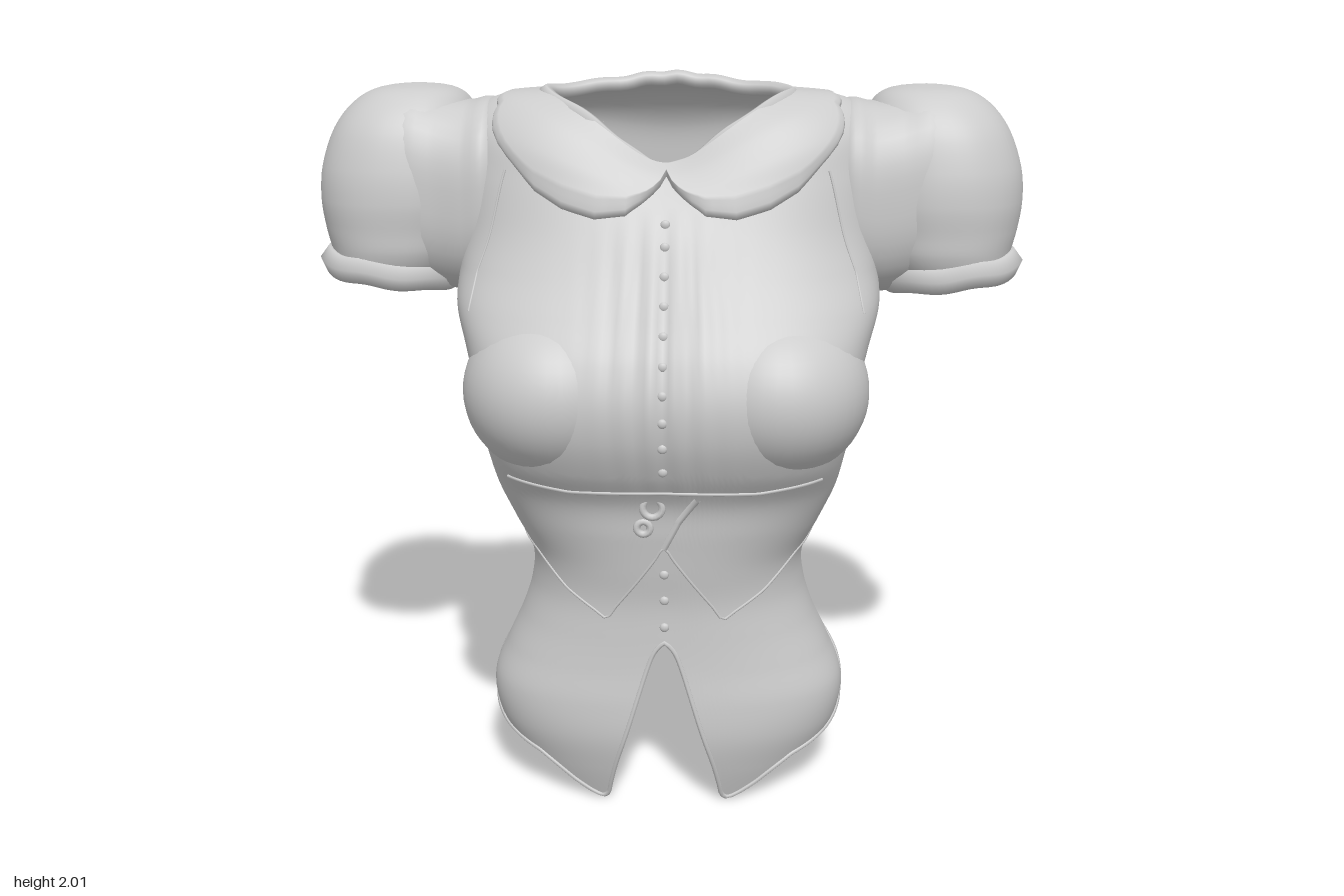
import * as THREE from 'three';
import { ParametricGeometry } from 'three/addons/geometries/ParametricGeometry.js';

const V = (x, y, z) => new THREE.Vector3(x, y, z);
const RAD = Math.PI / 180;

// Torso cross-sections: half width, front z, back z, centre z, front and back squareness,
// then (only near the neck) the height at front, side and back. Otherwise row i is at y = i / 10.
const SECTIONS = [
  [0.40, 0.26, -0.42, 0, 2.3, 2.2], [0.45, 0.29, -0.44, 0, 2.3, 2.2],
  [0.495, 0.31, -0.46, 0, 2.3, 2.2], [0.505, 0.31, -0.47, 0, 2.3, 2.2],
  [0.465, 0.30, -0.44, 0, 2.3, 2.2], [0.42, 0.295, -0.37, 0, 2.3, 2.2],
  [0.39, 0.295, -0.30, 0, 2.3, 2.2], [0.385, 0.31, -0.255, 0.02, 2.3, 2.2],
  [0.43, 0.325, -0.24, 0.03, 2.4, 2.2], [0.472, 0.342, -0.265, 0.04, 2.6, 2.2],
  [0.492, 0.40, -0.30, 0.06, 2.9, 2.2], [0.512, 0.438, -0.345, 0.06, 3, 2.2],
  [0.525, 0.445, -0.385, 0.05, 3, 2.3], [0.55, 0.415, -0.41, 0.03, 2.9, 2.5],
  [0.58, 0.355, -0.43, -0.02, 2.7, 2.7], [0.575, 0.295, -0.44, -0.06, 2.5, 2.9],
  [0.57, 0.24, -0.445, -0.1, 2.5, 3],
  [0.57, 0.19, -0.44, -0.13, 2.5, 3.2, 1.68, 1.76, 1.72],
  [0.56, 0.165, -0.42, -0.16, 2.4, 3, 1.715, 1.88, 1.84],
  [0.475, 0.14, -0.35, -0.13, 2.2, 2.4, 1.745, 1.94, 1.93],
  [0.335, 0.11, -0.24, -0.08, 2, 2, 1.77, 1.955, 1.985],
].map((s, i) => (s.length > 6 ? s : [...s, i / 10, i / 10, i / 10]));
const TOP = SECTIONS.length - 1;

// Smooth (cubic) interpolation through rows of numbers
function sample(rows, t) {
  const n = rows.length - 1;
  const i = Math.min(Math.max(Math.floor(t), 0), n - 1);
  const f = Math.min(Math.max(t - i, 0), 1);
  const [a, b, c, d] = [-1, 0, 1, 2].map(k => rows[Math.min(Math.max(i + k, 0), n)]);
  return b.map((p, k) => p + 0.5 * f * (c[k] - a[k]
    + f * (2 * a[k] - 5 * p + 4 * c[k] - d[k] + f * (3 * (p - c[k]) + d[k] - a[k]))));
}

// Straight interpolation in a table of [degrees from the front, value], same on both sides
function around(table, a) {
  const deg = Math.abs(Math.atan2(Math.sin(a), Math.cos(a))) / RAD;
  const i = Math.max(1, table.findIndex(p => p[0] >= deg - 1e-6));
  const [p, q] = [table[i - 1], table[i]];
  return p[1] + (q[1] - p[1]) * (deg - p[0]) / (q[0] - p[0]);
}

// Radius of a unit superellipse in the direction (s, c)
const squircle = (s, c, n) => Math.pow(Math.pow(Math.abs(s), n) + Math.pow(Math.abs(c), n), -1 / n);

// Point on the torso at section t and angle a (0 = front, 90 degrees = model's left)
function body(t, a) {
  const [w, zf, zb, zc, nf, nb, yf, ys, yb] = sample(SECTIONS, t);
  const s = Math.sin(a), c = Math.cos(a);
  const r = squircle(s / w, c / (c > 0 ? zf - zc : zc - zb), c > 0 ? nf : nb);
  const p = V(r * s, ys + ((c > 0 ? yf : yb) - ys) * c * c, zc + r * c);
  if (c > 0 && t > 9.4 && t < 17) { // fine pleats beside the buttons
    const fade = Math.sin(Math.PI * (t - 9.4) / 7.6);
    p.z -= 0.006 * fade * Math.cos(p.x * 90) * Math.exp(-Math.pow(p.x / 0.13, 2));
  }
  return p;
}

function bodyNormal(t, a) {
  const u = body(t, a + 0.01).sub(body(t, a - 0.01));
  return u.cross(body(Math.min(t + 0.02, TOP), a).sub(body(t - 0.02, a))).normalize();
}

// Torso point found by its x instead of its angle
function bodyAtX(x, t, back) {
  let lo = -Math.PI / 2, hi = Math.PI / 2;
  const at = q => body(t, back ? Math.PI - q : q);
  for (let i = 0; i < 24; i++) {
    const mid = (lo + hi) / 2;
    if (at(mid).x < x) lo = mid; else hi = mid;
  }
  return at(lo);
}

const HEM = [[0, 4.9], [5, 4.7], [10, 4], [19.5, 2.1], [28, 0.8], [33, 0.15], [36, 0], [40, 0.12],
  [48, 0.5], [60, 1.2], [75, 1.6], [90, 2.2], [105, 3.4], [115, 4.1], [123, 4.4], [140, 4.4], [180, 4.1]];
const COLLAR_EDGE = [[0, 19.2], [4, 18], [10, 17.1], [18, 16.6], [30, 16.45], [42, 16.6], [52, 16.9], [62, 17.7],
  [75, 18.8], [90, 19.2], [110, 18.9], [135, 18], [160, 17.5], [180, 17.45]];
const WAIST_SEAM = [[0, 7.8], [30, 5.6], [50, 6.3], [70, 7.2], [90, 7.7], [130, 8], [180, 8]];

export function createModel() {
  const group = new THREE.Group();
  const material = new THREE.MeshStandardMaterial({ color: 0xcccccc, side: THREE.DoubleSide });
  const add = (name, geometry) => {
    const mesh = new THREE.Mesh(geometry, material);
    mesh.name = name;
    group.add(mesh);
    return mesh;
  };
  const surface = (name, fn, cols, rows) =>
    add(name, new ParametricGeometry((u, v, out) => out.copy(fn(u * Math.PI * 2, v)), cols, rows));
  const cord = (name, points, radius, closed = false) =>
    add(name, new THREE.TubeGeometry(new THREE.CatmullRomCurve3(points, closed), points.length * 2, radius, 6, closed));
  const loop = (n, fn) => Array.from({ length: n }, (_, i) => fn(i / n * Math.PI * 2));
  // Cord lying on the torso along straight runs between [x, t] points
  const seam = (name, path, radius, back = false) => {
    const pts = [];
    path.forEach(([x, t], i) => {
      const [px, pt] = path[Math.max(i - 1, 0)];
      for (let k = i ? 1 : 6; k <= 6; k++) pts.push(bodyAtX(px + (x - px) * k / 6, pt + (t - pt) * k / 6, back));
    });
    return cord(name, pts, radius);
  };

  // Bodice and split peplum in one open shell
  surface('bodice', (a, v) => {
    const hem = around(HEM, a);
    return body(hem + (TOP - hem) * v, a);
  }, 160, 110);
  cord('hemEdge', loop(120, a => body(around(HEM, a) + 0.05, a)), 0.007, true);

  // Flat round collar with its rolled neck edge
  surface('collar', (a, v) => {
    const edge = around(COLLAR_EDGE, a), t = edge + (TOP - edge) * v;
    const lift = (0.007 + 0.014 * Math.max(0, Math.cos(a))) * Math.min(1, Math.sqrt(v * 8));
    return body(t, a).addScaledVector(bodyNormal(t, a), lift);
  }, 120, 24);
  cord('neckEdge', loop(48, a => {
    const p = body(TOP, a);
    p.y += 0.003 * Math.sin(a * 11) - 0.004;
    return p;
  }), 0.02, true);

  // Seams
  cord('waistSeam', loop(72, a => body(around(WAIST_SEAM, a), a)), 0.004, true);
  seam('bustSeam', [[-0.42, 9.65], [-0.25, 9.45], [0, 9.5], [0.25, 9.45], [0.42, 9.65]], 0.006);

  // Sleeve heads, lofted sideways from the armhole: x, bottom, top, back z, front z
  const SLEEVE_HEAD = [
    [0.45, 1.46, 1.90, -0.38, 0.06], [0.50, 1.42, 1.935, -0.40, 0.085], [0.56, 1.40, 1.925, -0.405, 0.075],
    [0.63, 1.405, 1.94, -0.405, 0.06], [0.70, 1.42, 1.962, -0.41, 0.055], [0.76, 1.46, 1.955, -0.40, 0.04],
  ];
  // Puffed sleeves: height, inner x, outer x, back z, front z; the first rows close the opening
  const PUFF = [
    [1.47, 0.78, 0.781, -0.17, -0.169], [1.465, 0.68, 0.88, -0.29, -0.05], [1.45, 0.63, 0.93, -0.35, 0.01],
    [1.47, 0.60, 0.95, -0.38, 0.04], [1.52, 0.57, 0.957, -0.40, 0.06], [1.58, 0.55, 0.972, -0.415, 0.065],
    [1.66, 0.53, 0.982, -0.42, 0.07], [1.75, 0.53, 0.975, -0.42, 0.06], [1.85, 0.54, 0.94, -0.41, 0.03],
    [1.92, 0.56, 0.885, -0.375, -0.02], [1.957, 0.61, 0.815, -0.31, -0.08], [1.97, 0.71, 0.711, -0.2, -0.199],
  ];
  for (const side of [1, -1]) {
    const name = side > 0 ? 'left' : 'right';
    surface(name + 'SleeveHead', (a, v) => {
      const [x, y0, y1, z0, z1] = sample(SLEEVE_HEAD, v * (SLEEVE_HEAD.length - 1));
      const s = Math.sin(a), c = Math.cos(a) * side, r = squircle(s, c, 2.6);
      return V(side * x, (y0 + y1) / 2 + (y1 - y0) / 2 * r * c, (z0 + z1) / 2 + (z1 - z0) / 2 * r * s);
    }, 48, 20);
    surface(name + 'Sleeve', (a, v) => {
      const [y, x0, x1, z0, z1] = sample(PUFF, v * (PUFF.length - 1));
      const s = Math.sin(a), c = Math.cos(a), r = squircle(s, c, 2.3);
      return V(side * (x0 + x1) / 2 + (x1 - x0) / 2 * r * s, y, (z0 + z1) / 2 + (z1 - z0) / 2 * r * c);
    }, 48, 44);
    // Gathered cuff, higher on the outside
    cord(name + 'Cuff', loop(40, a => {
      const s = Math.sin(a), c = Math.cos(a), r = squircle(s, c, 2.3);
      return V(side * (0.785 + 0.165 * r * s), 1.467 + 0.022 * s + 0.003 * Math.sin(a * 7), -0.165 + 0.197 * r * c);
    }), 0.041, true);

    // Rounded bust cup, bulging out of the bodice
    const cup = add(name + 'Bust', new THREE.SphereGeometry(1, 40, 28));
    cup.position.set(side * 0.295, 1.185, 0.18);
    cup.scale.set(0.252, 0.235, 0.27);

    seam(name + 'ArmholeSeam', [[side * 0.43, 17.2], [side * 0.47, 16], [side * 0.505, 15], [side * 0.525, 14]], 0.004);
    seam(name + 'LacingEdge', [[side * 0.18, 17.3], [side * 0.18, 14.5], [side * 0.13, 11], [side * 0.07, 8.2]], 0.007, true);
  }

  // Crossed lacing down the back
  const laceRows = 5;
  const laceAt = i => [0.185 - 0.11 * Math.pow(i / laceRows, 1.6), 17.2 - 8.7 * i / laceRows];
  for (let i = 0; i < laceRows; i++) {
    const [x0, t0] = laceAt(i), [x1, t1] = laceAt(i + 1);
    for (const side of [1, -1]) seam('backLace', [[side * x0, t0], [-side * x1, t1]], 0.009, true);
  }

  // Small front buttons
  const button = new THREE.SphereGeometry(0.013, 12, 8);
  for (const t of [5.4, 6.2, 7, 10.2, 10.9, 11.6, 12.3, 13, 13.7, 14.4, 15.1, 15.8, 16.4]) {
    const mesh = add('button', button);
    mesh.position.copy(bodyAtX(0, t));
    mesh.scale.z = 0.6;
  }

  // Small ribbon tie at the waist
  seam('ribbonTail', [[0.09, 9.3], [0.04, 8.6], [0, 7.8]], 0.01);
  for (const [x, t, r] of [[-0.03, 9.0, 0.026], [-0.055, 8.4, 0.018]]) {
    const knot = add('ribbonLoop', new THREE.TorusGeometry(r, 0.01, 8, 16));
    knot.position.copy(bodyAtX(x, t));
  }
  return group;
}
